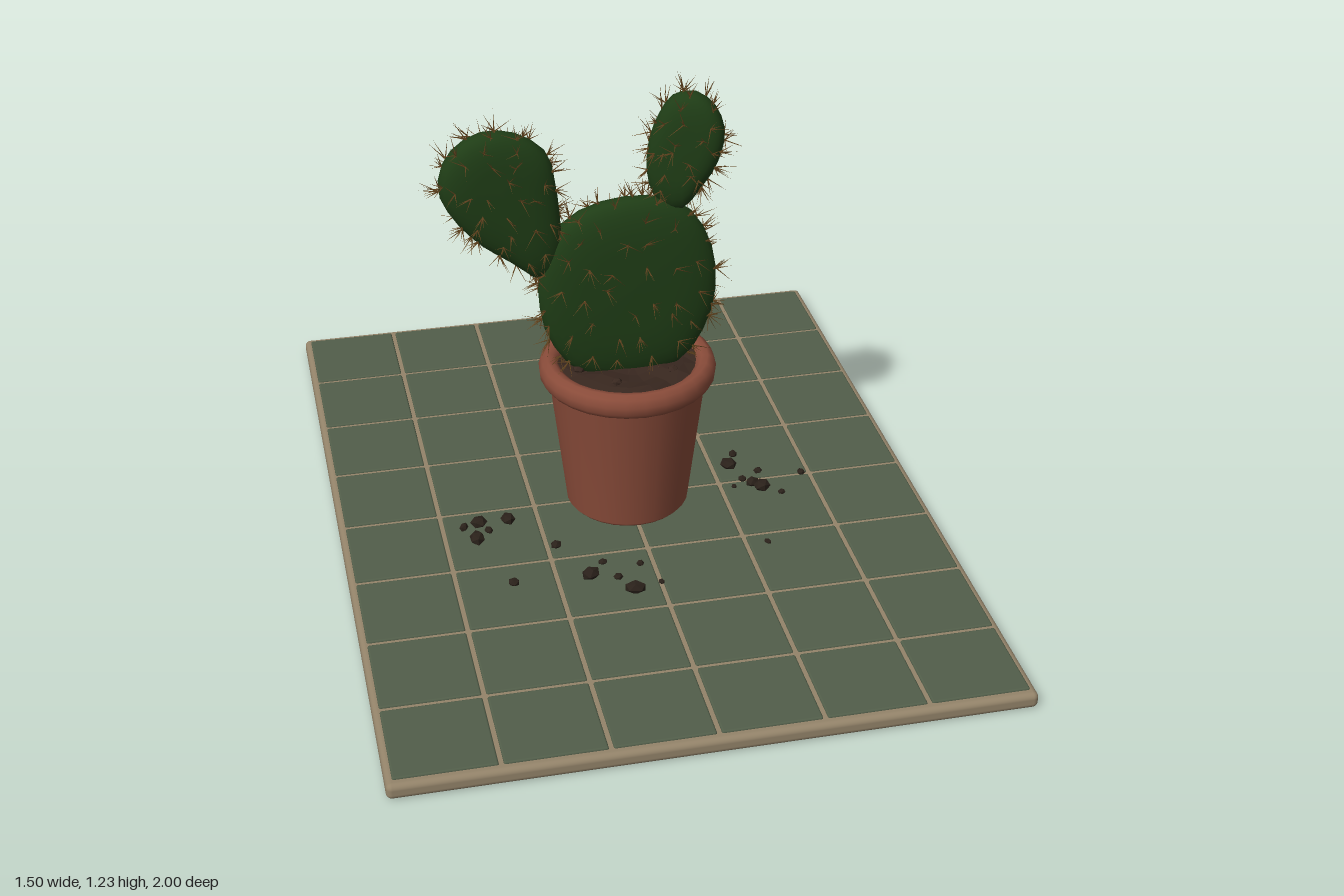
import * as THREE from 'three';
import { mergeGeometries } from 'three/addons/utils/BufferGeometryUtils.js';
import { RoundedBoxGeometry } from 'three/addons/geometries/RoundedBoxGeometry.js';

const mat = (color, extra = {}) => new THREE.MeshStandardMaterial({ color, ...extra });

// small seeded generator
let seed = 7;
const rand = (a = 0, b = 1) => {
  seed = (seed * 16807) % 2147483647;
  return a + (b - a) * (seed / 2147483647);
};

function addMesh(parent, name, geometry, material) {
  const mesh = new THREE.Mesh(geometry, material);
  mesh.name = name;
  parent.add(mesh);
  return mesh;
}

// flattened pad: an outline swept over a rounded edge profile, pinched to the centre on both faces
const padPoint = (p, phi, thick) => {
  const r = Math.pow(Math.max(Math.cos(phi), 0), 0.55);
  const s = Math.sin(phi);
  return new THREE.Vector3(p.x * r, p.y * r, thick * Math.sign(s) * Math.pow(Math.abs(s), 0.8));
};

function padGeometry(outline, thick) {
  const rings = 14, cols = 26;
  const pts = outline.getSpacedPoints(cols).slice(0, cols);
  const position = [], index = [];
  for (let i = 0; i <= rings; i++) {
    const phi = -Math.PI / 2 + Math.PI * i / rings;
    for (const p of pts) position.push(...padPoint(p, phi, thick).toArray());
  }
  for (let i = 0; i < rings; i++) {
    for (let j = 0; j < cols; j++) {
      const k = (j + 1) % cols;
      const a = i * cols + j, b = i * cols + k, c = b + cols, d = a + cols;
      if (i > 0) index.push(a, b, d);
      if (i < rings - 1) index.push(b, c, d);
    }
  }
  // close both face centres with their remaining triangles
  for (let j = 0; j < cols; j++) {
    const k = (j + 1) % cols;
    index.push(j, cols + k, cols + j);
    index.push((rings - 1) * cols + j, (rings - 1) * cols + k, rings * cols + j);
  }
  const geo = new THREE.BufferGeometry();
  geo.setAttribute('position', new THREE.Float32BufferAttribute(position, 3));
  geo.setIndex(index);
  geo.computeVertexNormals();
  return geo;
}

// clusters of thin spines spread around the edge and over both faces
function spineGeometry(outline, thick) {
  const up = new THREE.Vector3(0, 1, 0);
  const spines = [];
  const perimeter = outline.getLength();
  for (const phi of [-1.47, -1.25, -0.9, -0.4, 0, 0.4, 0.9, 1.25, 1.47]) {
    const ringScale = Math.pow(Math.cos(phi), 0.55);
    const count = Math.max(3, Math.round(perimeter * ringScale / 0.085));
    for (let n = 0; n < count; n++) {
      const p = outline.getPointAt((n + rand(0.1, 0.9)) / count);
      const root = padPoint(p, phi, thick);
      const out = p.clone().normalize().multiplyScalar(Math.cos(phi));
      out.z = Math.sin(phi);
      for (let s = 0; s < 5; s++) {
        const dir = out.clone().add(new THREE.Vector3(rand(-0.9, 0.9), rand(-0.9, 0.9), rand(-0.6, 0.6))).normalize();
        const len = rand(0.03, 0.062);
        const cone = new THREE.ConeGeometry(0.002, len, 3, 1, true);
        cone.translate(0, len / 2 - 0.004, 0);
        cone.applyQuaternion(new THREE.Quaternion().setFromUnitVectors(up, dir));
        cone.translate(root.x, root.y, root.z);
        spines.push(cone);
      }
    }
  }
  return mergeGeometries(spines);
}

function clodGeometry(x, y, z, r) {
  const geo = new THREE.IcosahedronGeometry(r, 0);
  geo.scale(rand(0.75, 1.1), rand(0.65, 0.9), rand(0.8, 1.25));
  geo.rotateY(rand(0, 6));
  geo.translate(x, y, z);
  return geo;
}

export function createModel() {
  seed = 7;
  const model = new THREE.Group();
  model.name = 'pottedCactus';
  const terracotta = mat(0x8a4c3a);
  const soilMat = mat(0x38271f, { flatShading: true });
  const clodMat = mat(0x2a211a, { flatShading: true });
  const padMat = mat(0x1f3d16);
  const spineMat = mat(0x6a4a22, { side: THREE.DoubleSide });

  // floor slab with a grid of tiles
  const floor = new THREE.Group();
  floor.name = 'tiledFloor';
  model.add(floor);
  const slab = addMesh(floor, 'slab', new RoundedBoxGeometry(1.5, 0.04, 2, 3, 0.014), mat(0x94846a));
  slab.position.y = 0.02;
  const tiles = [];
  const px = 0.2465, pz = 0.246;
  for (let i = 0; i < 6; i++) {
    for (let j = 0; j < 8; j++) {
      const tile = new RoundedBoxGeometry(px - 0.011, 0.014, pz - 0.011, 2, 0.005);
      tile.translate((i - 2.5) * px, 0.038, (j - 3.5) * pz);
      tiles.push(tile);
    }
  }
  addMesh(floor, 'tiles', mergeGeometries(tiles), mat(0x525e4a));

  // pot with a rolled rim
  const profile = [
    [0, 0.045], [0.148, 0.045], [0.157, 0.055], [0.199, 0.405], [0.213, 0.405], [0.222, 0.418],
    [0.224, 0.438], [0.217, 0.457], [0.203, 0.466], [0.187, 0.463], [0.174, 0.452], [0.168, 0.43], [0.165, 0.4],
  ].map(([x, y]) => new THREE.Vector2(x, y));
  addMesh(model, 'pot', new THREE.LatheGeometry(profile, 28), terracotta);

  // uneven soil
  const soil = new THREE.RingGeometry(0.001, 0.178, 18, 5);
  soil.rotateX(-Math.PI / 2);
  const sp = soil.attributes.position;
  for (let i = 0; i < sp.count; i++) {
    const x = sp.getX(i), z = sp.getZ(i);
    sp.setY(i, 0.45 + 0.009 * Math.sin(31 * x + 1) * Math.cos(37 * z) + 0.02 * Math.exp(-(x * x + (z + 0.1) ** 2) / 0.005));
  }
  addMesh(model, 'soil', soil, soilMat);
  const lumps = [[-0.13, 0.03, 0.018], [-0.08, -0.1, 0.02], [0.05, -0.11, 0.018], [0.1, 0.08, 0.014], [-0.05, 0.11, 0.014]];
  addMesh(model, 'soilLumps', mergeGeometries(lumps.map(([x, z, r]) => clodGeometry(x, 0.455, z, r))), soilMat);

  // pads: outline in front view (counterclockwise), centre, turn about the vertical
  const pads = [
    ['mainPad', [0, 0.68, 0.015], 0, 0.048, [
      [0.12, 0.44], [0.2, 0.55], [0.222, 0.68], [0.195, 0.8], [0.135, 0.88], [0.04, 0.91],
      [-0.09, 0.897], [-0.17, 0.85], [-0.22, 0.75], [-0.225, 0.65], [-0.2, 0.54], [-0.12, 0.44]]],
    ['rightPad', [-0.31, 0.96, 0.018], 0.03, 0.043, [
      [-0.195, 0.73], [-0.168, 0.8], [-0.17, 0.88], [-0.178, 0.96], [-0.2, 1.05], [-0.28, 1.108],
      [-0.37, 1.112], [-0.44, 1.06], [-0.462, 0.98], [-0.435, 0.91], [-0.37, 0.83], [-0.28, 0.76], [-0.225, 0.715]]],
    ['leftPad', [0.138, 1.03, 0.022], -0.36, 0.042, [
      [0.135, 0.875], [0.175, 0.93], [0.212, 1.0], [0.226, 1.08], [0.203, 1.145], [0.16, 1.178],
      [0.11, 1.168], [0.07, 1.1], [0.05, 1.0], [0.065, 0.91], [0.098, 0.875]]],
  ];
  const cactus = new THREE.Group();
  cactus.name = 'cactus';
  model.add(cactus);
  for (const [name, centre, turn, thick, points] of pads) {
    const outline = new THREE.CatmullRomCurve3(
      points.map(([x, y]) => new THREE.Vector3((x - centre[0]) / Math.cos(turn), y - centre[1], 0)), true);
    const pad = new THREE.Group();
    pad.name = name;
    pad.position.set(...centre);
    pad.rotation.y = turn;
    addMesh(pad, name + 'Body', padGeometry(outline, thick), padMat);
    addMesh(pad, name + 'Spines', spineGeometry(outline, thick), spineMat);
    cactus.add(pad);
  }

  // spilled soil clods on the floor: x, z, radius
  const spill = [
    [0.29, -0.07, 0.022], [0.315, -0.12, 0.013], [0.36, -0.03, 0.011], [0.31, 0.0, 0.011], [0.33, 0.025, 0.017],
    [0.35, 0.05, 0.024], [0.395, 0.08, 0.01], [0.47, 0, 0.011], [0.28, 0.03, 0.009], [0.3, 0.29, 0.009],
    [-0.415, 0.13, 0.022], [-0.44, 0.07, 0.013], [-0.4, 0.06, 0.021], [-0.38, 0.095, 0.012], [-0.325, 0.06, 0.02],
    [-0.355, 0.33, 0.013], [-0.225, 0.195, 0.014], [-0.165, 0.34, 0.023], [-0.125, 0.29, 0.011],
    [-0.1, 0.36, 0.012], [-0.07, 0.42, 0.023], [-0.035, 0.315, 0.01], [0, 0.4, 0.009],
  ];
  addMesh(model, 'spilledClods', mergeGeometries(spill.map(([x, z, r]) => clodGeometry(x, 0.043 + r * 0.5, z, r))), clodMat);
  return model;
}
